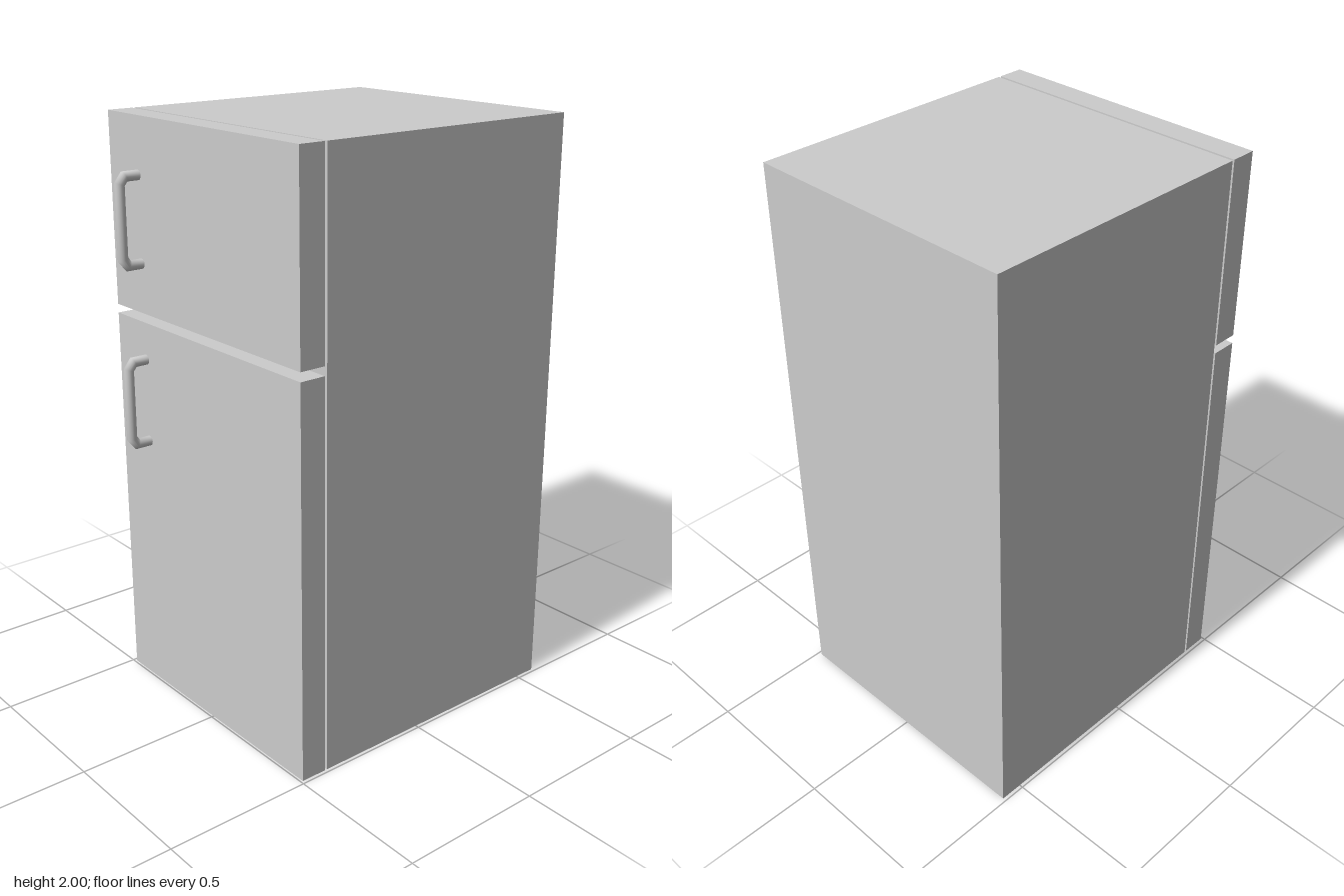
import * as THREE from 'three';
import { mergeVertices } from 'three/addons/utils/BufferGeometryUtils.js';

const WIDTH = 0.975;
const material = new THREE.MeshStandardMaterial({ color: 0xcccccc });

// Box given by its y and z extents, spanning the full width
function slab(name, y0, y1, z0, z1) {
  const mesh = new THREE.Mesh(new THREE.BoxGeometry(WIDTH, y1 - y0, z1 - z0), material);
  mesh.position.set(0, (y0 + y1) / 2, (z0 + z1) / 2);
  mesh.name = name;
  return mesh;
}

// Bent round bar: an open cylinder whose rings are moved onto a mitred path in the yz plane
function handleGeometry() {
  const radius = 0.017, sides = 16;
  const path = [[0.49, 0.143], [0.542, 0.143], [0.561, 0.12], [0.561, -0.12], [0.542, -0.143], [0.49, -0.143]]
    .map(([z, y]) => new THREE.Vector2(z, y));
  const normals = path.slice(1).map((p, i) => {
    const d = p.clone().sub(path[i]).normalize();
    return new THREE.Vector2(-d.y, d.x);
  });
  const geometry = new THREE.CylinderGeometry(radius, radius, 1, sides, path.length - 1, true);
  const pos = geometry.attributes.position;
  for (let i = 0; i < pos.count; i++) {
    const row = Math.floor(i / (sides + 1));
    const a = normals[Math.max(row - 1, 0)];
    const b = normals[Math.min(row, normals.length - 1)];
    const miter = a.clone().add(b).divideScalar(1 + a.dot(b));
    const out = pos.getZ(i);
    pos.setY(i, path[row].y + miter.y * out);
    pos.setZ(i, path[row].x + miter.x * out);
  }
  geometry.deleteAttribute('normal');
  geometry.deleteAttribute('uv');
  const merged = mergeVertices(geometry);
  merged.computeVertexNormals();
  return merged;
}

export function createModel() {
  const model = new THREE.Group();
  model.name = 'refrigerator';

  // Cabinet and the two doors, separated by narrow gaps
  model.add(
    slab('cabinet', 0, 2, -0.58, 0.393),
    slab('fridgeDoor', 0, 1.33, 0.402, 0.492),
    slab('freezerDoor', 1.36, 2, 0.402, 0.492)
  );

  // One handle per door
  const geometry = handleGeometry();
  for (const [name, y] of [['freezerHandle', 1.67], ['fridgeHandle', 1.06]]) {
    const handle = new THREE.Mesh(geometry, material);
    handle.name = name;
    handle.position.set(-0.327, y, 0);
    model.add(handle);
  }
  return model;
}
